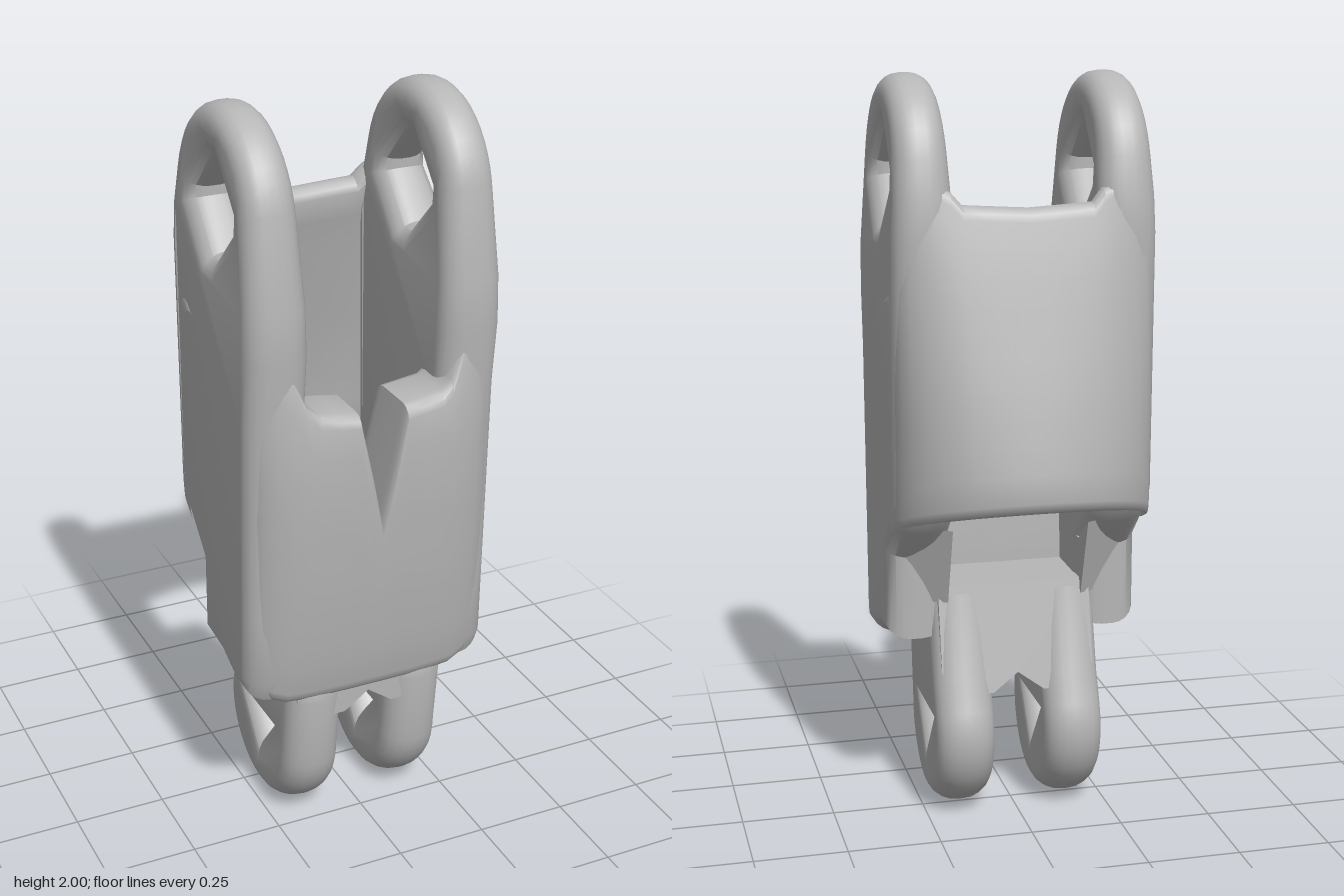
import * as THREE from 'three';
import { toCreasedNormals } from 'three/addons/utils/BufferGeometryUtils.js';

const grey = new THREE.MeshStandardMaterial({ color: 0xb6b6b6 });
grey.name = 'grey plastic';

// Piecewise linear lookup in a short list of [input, output] pairs
function lookup(table, v) {
  if (v <= table[0][0]) return table[0][1];
  for (let i = 1; i < table.length; i++) {
    const [a, fa] = table[i - 1], [b, fb] = table[i];
    if (v <= b) return fa + (fb - fa) * (v - a) / (b - a);
  }
  return table[table.length - 1][1];
}

function part(name, geometry, crease = 0.65) {
  const mesh = new THREE.Mesh(toCreasedNormals(geometry, crease), grey);
  mesh.name = name;
  return mesh;
}

// Arc of [z, y] points
function arc(cz, cy, r, from, to, n = 18) {
  return Array.from({ length: n + 1 }, (_, i) => {
    const a = from + (to - from) * i / n;
    return [cz + r * Math.cos(a), cy + r * Math.sin(a)];
  });
}

// Plate with rounded edges: a [z, y] outline spanning x0..x1
function plate(outline, hole, [x0, x1], bevel) {
  const toVec = ([z, y]) => new THREE.Vector2(-z, y);
  const shape = new THREE.Shape(outline.map(toVec));
  if (hole) shape.holes.push(new THREE.Path(hole.map(toVec)));
  const rounding = bevel * 1.25;
  const geometry = new THREE.ExtrudeGeometry(shape, {
    depth: x1 - x0 - 2 * rounding, bevelEnabled: bevel > 0, bevelThickness: rounding,
    bevelSize: bevel, bevelOffset: -bevel, bevelSegments: 5,
  });
  geometry.translate(0, 0, x0 + rounding);
  return geometry.rotateY(Math.PI / 2);
}

// Curved wall swept across x, with rounded upper and lower rims
const halfWidth = 0.348;
const half = [0.03, 0.065, 0.12, 0.17, 0.2, 0.24, 0.28, 0.31, 0.33, 0.342, halfWidth];
const columns = [...half.map((x) => -x).reverse(), 0, ...half];
function wall(front, back, bottom, top) {
  const pos = [], index = [], steps = 10;
  let size = 0;
  for (const column of columns) {
    const x = Math.abs(column), y0 = bottom(x), y1 = top(x);
    const r = Math.min(0.035, Math.abs(front(x, y1) - back(x, y1)) / 2);
    const ring = [];
    const side = (surface, sign, up) => {
      for (let i = 0; i <= steps; i++) {
        const k = up ? i / steps : 1 - i / steps;
        const y = y0 + r + (y1 - y0 - 2 * r) * k;
        const rim = (a) => ring.push([
          surface(x, y) - sign * r * (1 - Math.cos(a)),
          y + (k === 1 ? 1 : -1) * r * Math.sin(a)]);
        if (i === 0) [1.571, 1.05, 0.52].forEach(rim);
        ring.push([surface(x, y), y]);
        if (i === steps) [0.52, 1.05, 1.571].forEach(rim);
      }
    };
    side(front, 1, true);
    side(back, -1, false);
    size = ring.length;
    ring.forEach(([z, y]) => pos.push(column, y, z));
  }
  for (let i = 0; i < columns.length - 1; i++) {
    for (let j = 0; j < size; j++) {
      const a = i * size + j, c = i * size + (j + 1) % size;
      index.push(a, a + size, c, c, a + size, c + size);
    }
  }
  const geometry = new THREE.BufferGeometry();
  geometry.setAttribute('position', new THREE.Float32BufferAttribute(pos, 3));
  geometry.setIndex(index);
  return geometry;
}

const bulge = (x, n) => Math.pow(Math.max(0, 1 - Math.pow(x / halfWidth, n)), 1 / n);

export function createModel() {
  const group = new THREE.Group();

  // Front wall with the V notch in its upper edge
  const frontZ = [[0.42, 0.31], [0.55, 0.335], [0.75, 0.358], [1, 0.375], [1.2, 0.375], [1.4, 0.345], [1.55, 0.34]];
  const frontTop = [[0, 0.95], [0.065, 1.26], [0.17, 1.275], [0.2, 1.3], [0.24, 1.4], [0.31, 1.5]];
  const frontBottom = [[0, 0.42], [0.24, 0.42], [0.28, 0.435], [0.31, 0.46], [0.33, 0.49], [0.35, 0.55]];
  const frontInner = [[0.65, 0.155], [1.25, 0.19]];
  group.add(part('frontWall', wall(
    (x, y) => 0.19 + (lookup(frontZ, y) - 0.19) * bulge(x, 3.4),
    (x, y) => lookup(frontInner, y),
    (x) => lookup(frontBottom, x),
    (x) => lookup(frontTop, x))));

  // Back wall, leaning outwards towards its lower rim and squarer near the top
  const backZ = [[0.91, -0.365], [0.96, -0.375], [1.2, -0.33], [1.55, -0.25], [1.68, -0.215], [1.8, -0.178]];
  const backTop = [[0, 1.675], [0.17, 1.685], [0.2, 1.72], [0.24, 1.74], [0.28, 1.7], [0.33, 1.52], [0.35, 1.42]];
  const squareness = [[1, 2.2], [1.8, 3.5]];
  const backOuter = (x, y) => -0.1 + (lookup(backZ, y) + 0.1) * bulge(x, lookup(squareness, y));
  group.add(part('backWall', wall(
    (x, y) => backOuter(x, y) + 0.07,
    backOuter,
    (x) => 0.81 - (backOuter(x, 0.95) + 0.1) * 0.38,
    (x) => lookup(backTop, x))));

  // Cheeks ending in rounded ears with diamond holes
  const cheekOutline = [
    ...arc(0.06, 1.75, 0.25, 0.15, Math.PI - 0.2),
    [-0.208, 1.7], [-0.21, 1.6], [-0.19, 0.9], [-0.13, 0.82], [-0.04, 0.73], [-0.04, 0.5],
    [0.1, 0.485], [0.18, 0.45], [0.28, 0.44], [0.305, 0.5], [0.31, 0.7], [0.325, 1.25], [0.343, 1.42], [0.34, 1.55],
  ];
  const diamond = [
    [0.185, 1.73], [0.075, 1.62], [0.045, 1.62], [-0.065, 1.73],
    [-0.065, 1.755], [0.045, 1.875], [0.075, 1.875], [0.185, 1.76],
  ];
  // Lower lugs with triangular holes
  const lugOutline = [
    ...arc(0.06, 0.225, 0.226, 0, -Math.PI - 0.4, 24),
    [-0.115, 0.39], [-0.05, 0.62], [0.2, 0.62], [0.3, 0.46], [0.308, 0.41],
  ];
  const triangle = [[0.125, 0.255], [-0.005, 0.255], [0.06, 0.185]];
  // Sloping flanks between cheeks and floor
  const web = [[0.02, 0.75], [-0.03, 0.75], [-0.125, 0.82], [-0.055, 0.6], [0.02, 0.58]];

  const span = (side, inner, outer) => (side > 0 ? [inner, outer] : [-outer, -inner]);
  for (const side of [1, -1]) {
    const name = side > 0 ? 'left' : 'right';
    const cheek = plate(cheekOutline, diamond, span(side, 0.182, 0.35), 0.055);
    // The ears grow thinner towards the top
    const p = cheek.attributes.position;
    for (let i = 0; i < p.count; i++) {
      const k = 1 - 0.2 * THREE.MathUtils.smoothstep(p.getY(i), 1.45, 1.95);
      p.setX(i, side * 0.266 + (p.getX(i) - side * 0.266) * k);
    }
    group.add(part(name + 'Cheek', cheek));
    group.add(part(name + 'Lug', plate(lugOutline, triangle, span(side, 0.07, 0.23), 0.06)));
    const flank = plate(web, null, span(side, 0.185, 0.3), 0);
    const q = flank.attributes.position;
    for (let i = 0; i < q.count; i++) {
      if (Math.abs(q.getX(i)) > 0.25) q.setZ(i, q.getZ(i) + 0.06);
    }
    group.add(part(name + 'Flank', flank));
  }

  // Floor bridging the lugs, with a peaked slot below and a sloping back
  const floorTop = 0.64;
  const floorShape = new THREE.Shape([
    [-0.21, floorTop], [-0.21, 0.41], [-0.15, 0.35], [-0.07, 0.35], [0, 0.4],
    [0.07, 0.35], [0.15, 0.35], [0.21, 0.41], [0.21, floorTop],
  ].map(([x, y]) => new THREE.Vector2(x, y)));
  const floor = new THREE.ExtrudeGeometry(floorShape, { depth: 0.33, bevelEnabled: false });
  floor.translate(0, 0, -0.04);
  const f = floor.attributes.position;
  for (let i = 0; i < f.count; i++) {
    if (f.getZ(i) < 0) f.setZ(i, -0.04 - (floorTop - f.getY(i)) * 0.22);
  }
  group.add(part('floor', floor));
  return group;
}
